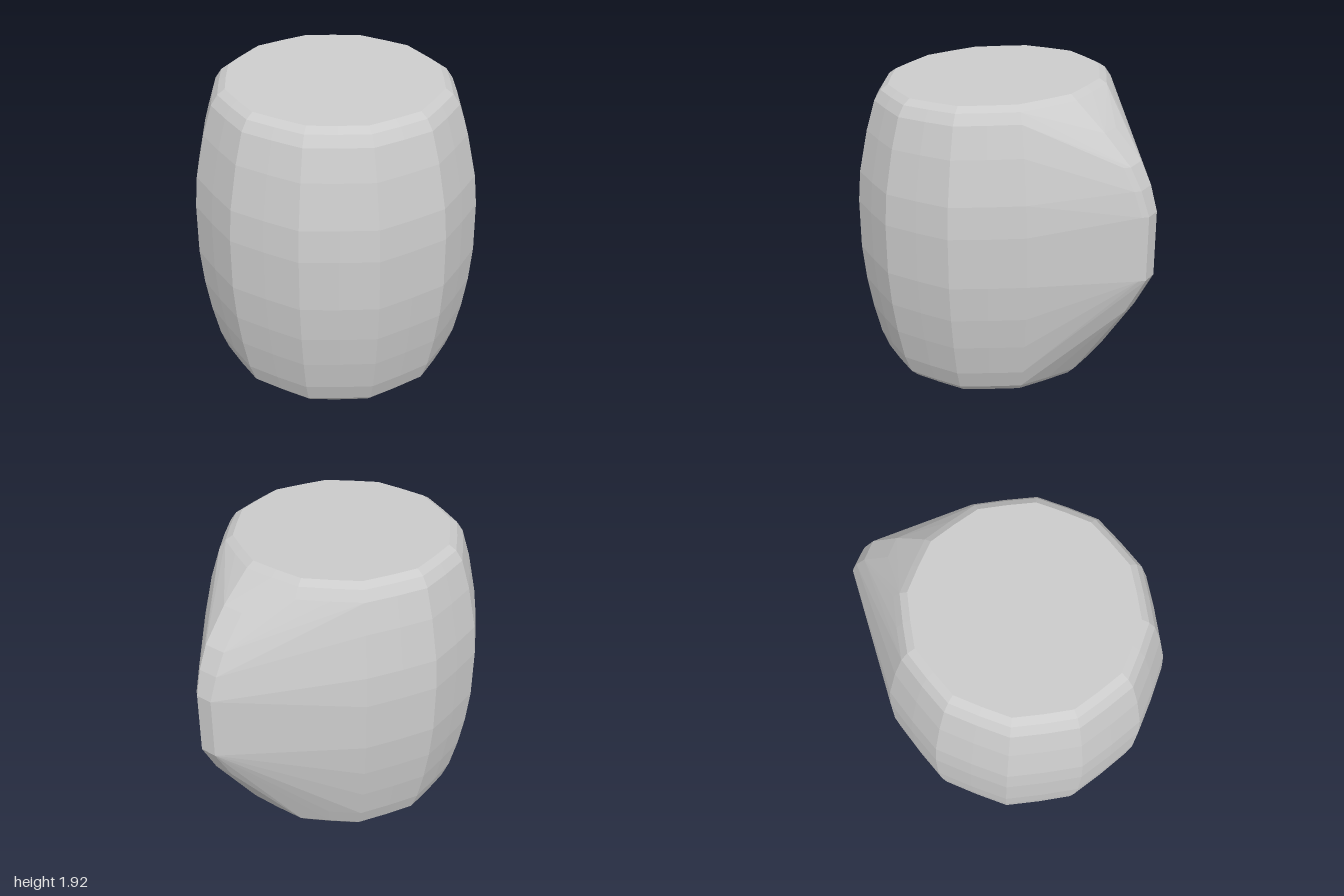
import * as THREE from 'three';
import { ConvexGeometry } from 'three/addons/geometries/ConvexGeometry.js';

const CENTRE_Z = 0.155;

// Barrel profile: [radius of the corners, height]
const PROFILE = [
  [0.59, 0], [0.67, 0.05], [0.72, 0.1], [0.765, 0.22], [0.81, 0.42],
  [0.842, 0.62], [0.862, 0.84], [0.862, 1.15], [0.845, 1.34],
  [0.79, 1.6], [0.735, 1.78], [0.695, 1.84], [0.65, 1.87],
];

// Outer edge of the handle bulge: [y, z, half width]
const HANDLE = [
  [1.72, -0.71, 0.065], [1.55, -0.88, 0.065], [1.42, -0.95, 0.06],
  [1.27, -1.0, 0.05], [0.87, -1.0, 0.05], [0.64, -0.88, 0.06],
];
const HANDLE_X = 0.13;

export function createModel() {
  const points = [];

  // Faceted barrel rings, leaning slightly up towards the back left
  const sides = 24;
  for (const [radius, y] of PROFILE) {
    for (let i = 0; i < sides; i++) {
      const a = (i / sides) * Math.PI * 2;
      const r = radius * (i % 2 ? 1 : 0.972);
      const x = r * Math.sin(a);
      const z = r * Math.cos(a);
      const lean = 0.02 - 0.03 * x - 0.03 * z;
      points.push(new THREE.Vector3(x, Math.max(0, y + lean), z + CENTRE_Z));
    }
  }

  // Handle edge: narrow flat back with rounded shoulders
  for (const [y, z, half] of HANDLE) {
    for (const side of [-1, 1]) {
      points.push(new THREE.Vector3(HANDLE_X + side * half, y, z));
      points.push(new THREE.Vector3(HANDLE_X + side * (half + 0.03), y, z + 0.03));
    }
  }

  // One taut shell wraps barrel and handle
  const shell = new THREE.Mesh(
    new ConvexGeometry(points),
    new THREE.MeshStandardMaterial({ color: 0xcccccc, flatShading: true })
  );
  shell.name = 'mugShell';

  const group = new THREE.Group();
  group.name = 'mugHull';
  group.add(shell);
  return group;
}
